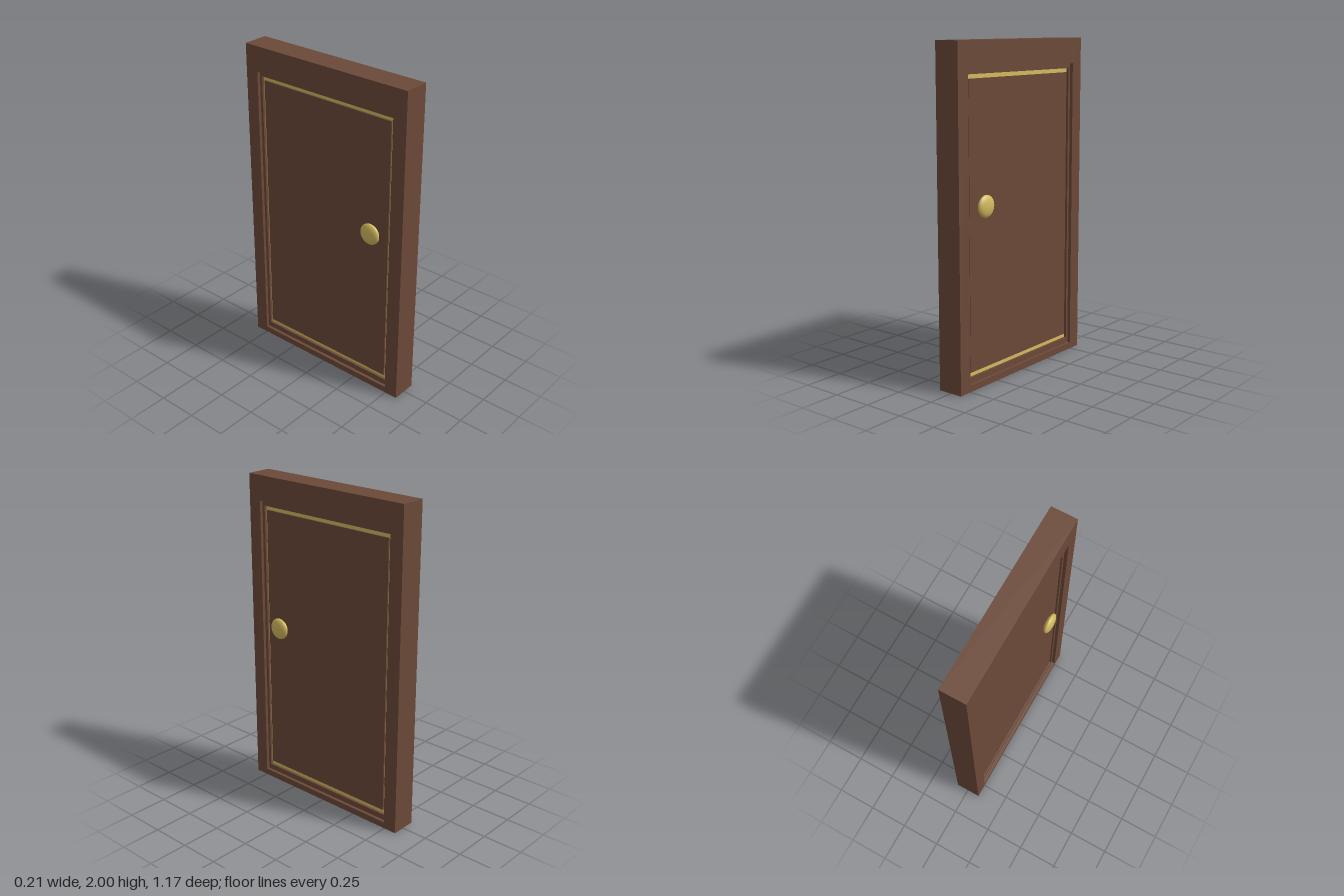
import * as THREE from 'three';

const wood = new THREE.MeshStandardMaterial({ color: 0x6b4938 });
const brass = new THREE.MeshStandardMaterial({ color: 0xd2b95f });

// Box spanning z = -halfW..halfW and y = y0..y1, with half thickness halfT
function slab(name, halfW, y0, y1, halfT, material) {
  const mesh = new THREE.Mesh(new THREE.BoxGeometry(halfT * 2, y1 - y0, halfW * 2), material);
  mesh.position.y = (y0 + y1) / 2;
  mesh.name = name;
  return mesh;
}

function rectangle(Type, halfW, y0, y1) {
  const path = new Type();
  path.moveTo(-halfW, y0);
  path.lineTo(halfW, y0);
  path.lineTo(halfW, y1);
  path.lineTo(-halfW, y1);
  path.closePath();
  return path;
}

// Rectangular surround with a rectangular opening, facing along x
function surround(name, outer, inner, halfT) {
  const shape = rectangle(THREE.Shape, ...outer);
  shape.holes.push(rectangle(THREE.Path, ...inner));
  const geometry = new THREE.ExtrudeGeometry(shape, { depth: halfT * 2, bevelEnabled: false });
  geometry.translate(0, 0, -halfT);
  geometry.rotateY(Math.PI / 2);
  const mesh = new THREE.Mesh(geometry, wood);
  mesh.name = name;
  return mesh;
}

export function createModel() {
  const model = new THREE.Group();
  model.name = 'door';

  // Frame, stepped stop, brass inlay and the panel standing proud of it
  const leaf = new THREE.Group();
  leaf.name = 'framedDoor';
  leaf.position.x = -0.0025;
  leaf.add(
    surround('frame', [0.583, 0, 2], [0.498, 0.04, 1.845], 0.08),
    surround('doorStop', [0.498, 0.04, 1.845], [0.48, 0.075, 1.815], 0.06),
    slab('brassInlay', 0.48, 0.075, 1.815, 0.045, brass),
    slab('doorPanel', 0.466, 0.102, 1.79, 0.055, wood)
  );
  model.add(leaf);

  // Flattened knob with a short stem on each face
  for (const side of [1, -1]) {
    const handle = new THREE.Group();
    handle.name = side > 0 ? 'leftKnob' : 'rightKnob';
    handle.position.set(side * 0.08, 1.068, 0.353);

    const knob = new THREE.Mesh(new THREE.SphereGeometry(0.066, 32, 20), brass);
    knob.name = 'knob';
    knob.scale.x = 0.025 / 0.066;

    const stem = new THREE.Mesh(new THREE.CylinderGeometry(0.02, 0.02, 0.03, 20), brass);
    stem.name = 'stem';
    stem.rotation.z = Math.PI / 2;
    stem.position.x = -side * 0.015;

    handle.add(knob, stem);
    model.add(handle);
  }
  return model;
}
